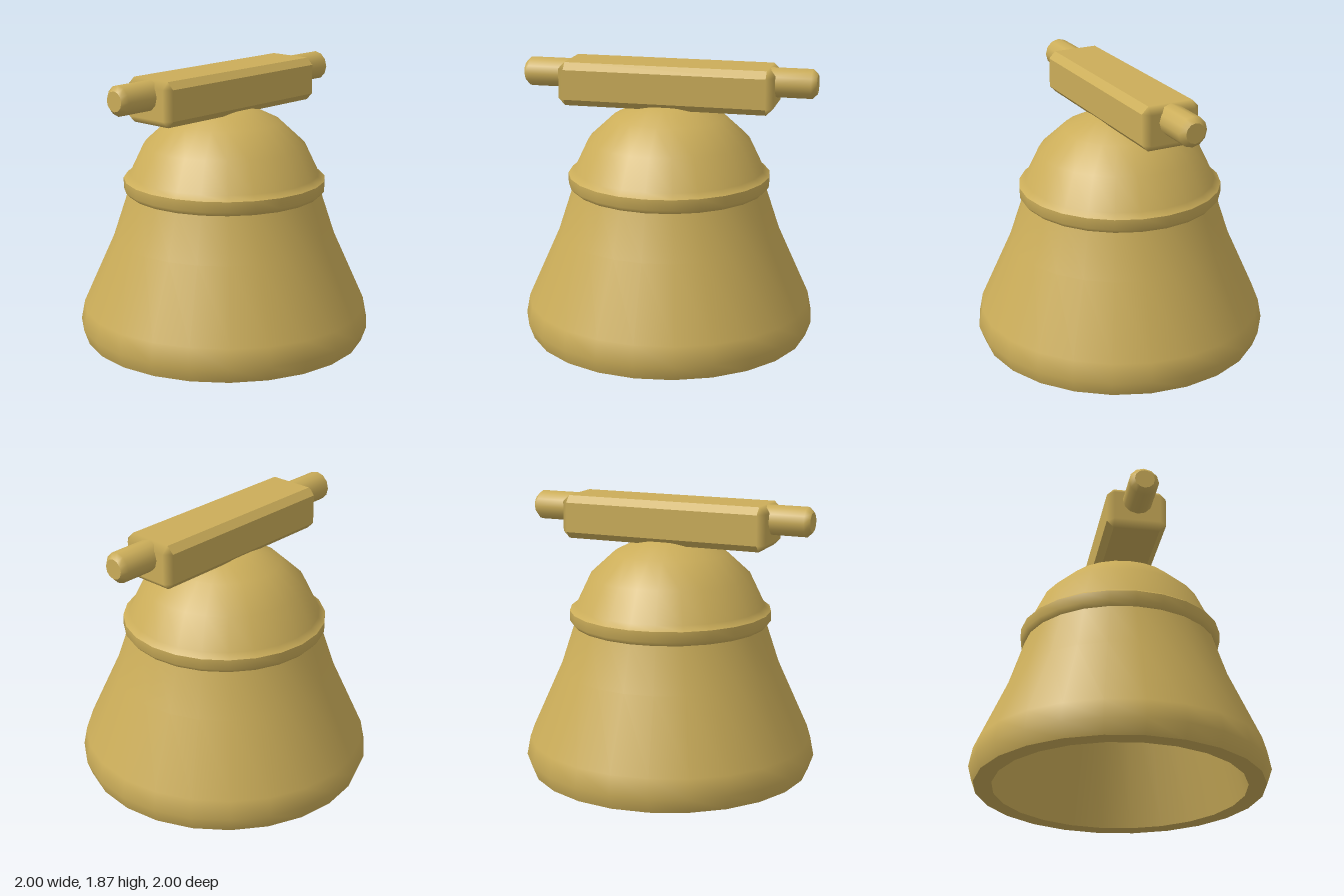
import * as THREE from 'three';
import { ConvexGeometry } from 'three/addons/geometries/ConvexGeometry.js';

const brass = new THREE.MeshStandardMaterial({ color: 0xcbad59 });
brass.name = 'brass';

function part(name, geometry) {
  const mesh = new THREE.Mesh(geometry, brass);
  mesh.name = name;
  return mesh;
}

// Profile points are [radius, height]; rising profiles face outward
function turned(name, profile, sides = 24) {
  const points = profile.map(([r, y]) => new THREE.Vector2(r, y));
  const geometry = new THREE.LatheGeometry(points, sides);
  geometry.normalizeNormals();
  return part(name, geometry);
}

// Chamfered box: crisp chamfers along z, softly shaded ones around both ends
function chamferedBox(w, h, d, c) {
  const half = [w / 2, h / 2, d / 2];
  const points = [];
  for (const sx of [-1, 1]) for (const sy of [-1, 1]) for (const sz of [-1, 1]) {
    const s = [sx, sy, sz];
    for (let axis = 0; axis < 3; axis++) {
      points.push(new THREE.Vector3(...s.map((v, i) => v * (half[i] - (i === axis ? 0 : c)))));
    }
  }
  const geometry = new ConvexGeometry(points);
  const { position, normal } = geometry.attributes;
  for (let i = 0; i < position.count; i++) {
    if (Math.abs(normal.getZ(i)) < 0.1) continue;
    const p = [position.getX(i), position.getY(i), position.getZ(i)];
    normal.setXYZ(i, ...p.map((v, k) => (Math.abs(v) > half[k] - c / 2 ? Math.sign(v) : 0)));
  }
  return geometry;
}

export function createModel() {
  const bell = new THREE.Group();
  bell.name = 'bell';

  // Flared skirt, flat lip and tapered hollow with a flat ceiling
  bell.add(turned('skirt', [[0.965, 0], [1, 0.1], [0.975, 0.23], [0.76, 0.71], [0.655, 1.03]]));
  bell.add(turned('lip', [[0.845, 0], [0.965, 0]]));
  bell.add(turned('inside', [[0.585, 1.02], [0.845, 0]]));
  bell.add(turned('ceiling', [[0, 1.02], [0.585, 1.02]]));

  // Raised band, with the dome above it
  bell.add(turned('bandUnderside', [[0.64, 1.015], [0.662, 1.015]]));
  bell.add(turned('band', [[0.662, 1.015], [0.688, 1.045], [0.688, 1.114]]));
  bell.add(turned('dome', [
    [0.688, 1.114], [0.645, 1.147], [0.548, 1.35], [0.38, 1.505], [0.19, 1.597], [0, 1.605],
  ]));

  // Hanging bar along z
  const bar = part('hangingBar', chamferedBox(0.4, 0.294, 1.46, 0.046));
  bar.position.y = 1.723;
  bell.add(bar);

  // Pivot pins at both ends, with chamfered tips
  for (const side of [1, -1]) {
    const pin = new THREE.Group();
    pin.name = side > 0 ? 'frontPin' : 'backPin';
    pin.add(turned('pinShaft', [[0.1, 0.69], [0.1, 0.965], [0.066, 1]], 12));
    pin.add(turned('pinTip', [[0.066, 1], [0, 1]], 12));
    pin.rotation.x = side * Math.PI / 2;
    pin.position.y = 1.769;
    bell.add(pin);
  }

  return bell;
}
